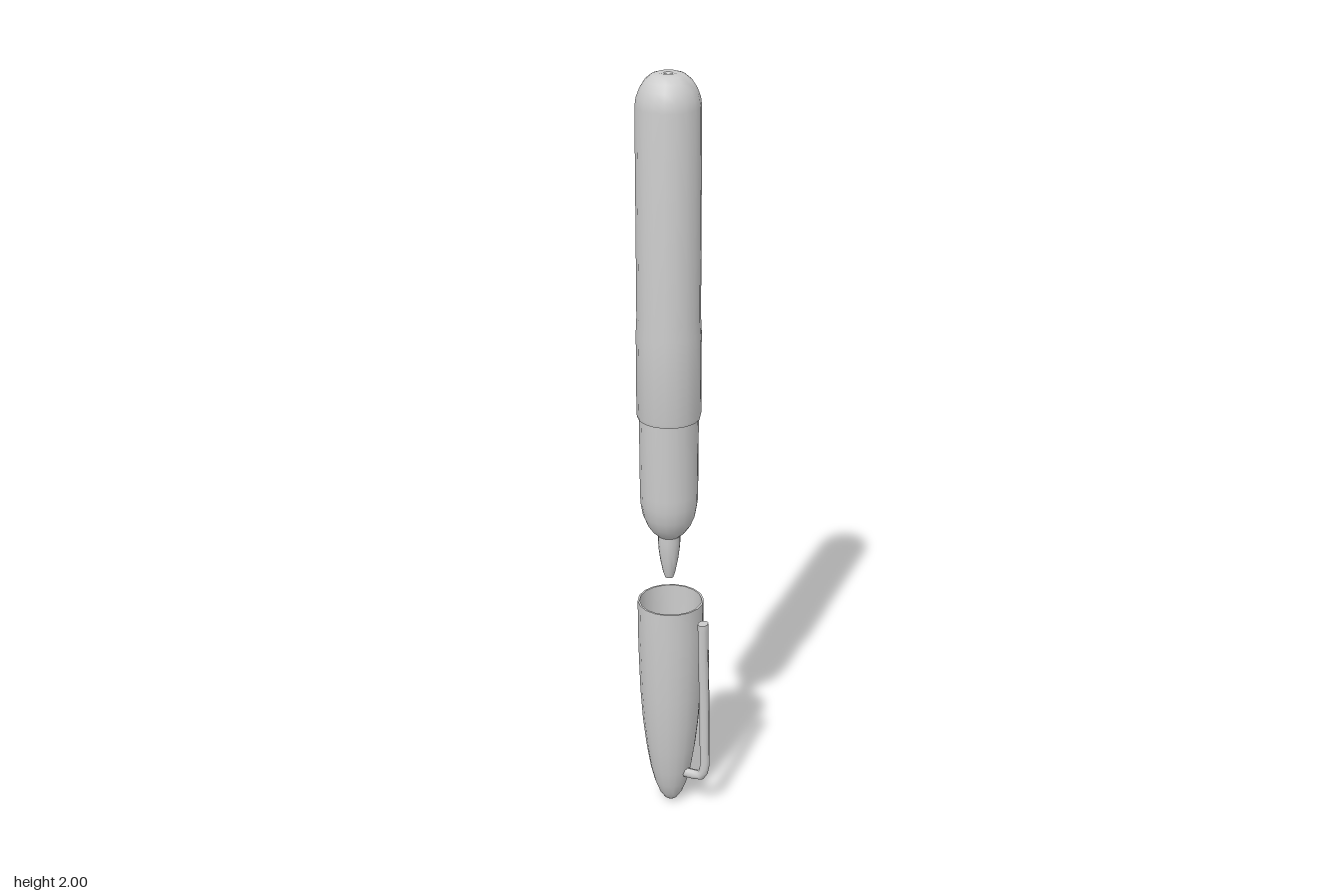
import * as THREE from 'three';
import { toCreasedNormals } from 'three/addons/utils/BufferGeometryUtils.js';

const SIDES = 18;

export function createModel() {
  const group = new THREE.Group();
  group.name = 'markerPen';
  const material = new THREE.MeshStandardMaterial({ color: 0xcccccc });

  const add = (name, geometry, x = 0) => {
    const mesh = new THREE.Mesh(geometry, material);
    mesh.name = name;
    mesh.position.x = x;
    group.add(mesh);
    return mesh;
  };
  // Turned part from [radius, height] pairs, listed bottom to top on the outside
  const turned = (name, profile, x) => add(name, toCreasedNormals(
    new THREE.LatheGeometry(profile.map(([r, y]) => new THREE.Vector2(r, y)), SIDES), 0.65), x);

  const penX = -0.023, capX = -0.019;

  // Writing tip, pointing down
  turned('tip', [
    [0, 0.683], [0.011, 0.685], [0.016, 0.7], [0.023, 0.735],
    [0.027, 0.765], [0.029, 0.79], [0.029, 0.82],
  ], penX);

  // Narrower grip with rounded shoulder
  turned('grip', [
    [0, 0.806], [0.029, 0.806], [0.042, 0.818], [0.056, 0.838], [0.067, 0.865],
    [0.073, 0.9], [0.074, 0.93], [0.075, 1.14],
  ], penX);

  // Barrel with a slightly swollen lower sleeve and a small dimple in the domed end
  turned('barrel', [
    [0.072, 1.136], [0.079, 1.136], [0.081, 1.145], [0.081, 1.36], [0.079, 1.4],
    [0.079, 1.92], [0.076, 1.942], [0.068, 1.963], [0.056, 1.982], [0.04, 1.995],
    [0.024, 2], [0.011, 1.998], [0.007, 1.993], [0, 1.992],
  ], penX);

  // Hollow cap, open at the top
  turned('cap', [
    [0, 0], [0.009, 0.003], [0.018, 0.01], [0.031, 0.03], [0.044, 0.065], [0.055, 0.11],
    [0.066, 0.18], [0.075, 0.26], [0.081, 0.35], [0.084, 0.44], [0.086, 0.53], [0.086, 0.617],
    [0.081, 0.617], [0.08, 0.5], [0.076, 0.35], [0.062, 0.2], [0.04, 0.09], [0, 0.05],
  ], capX);

  // Pocket clip: bent rod rising from the foot of the cap
  const clipZ = 0.018;
  const path = new THREE.CatmullRomCurve3([
    [0.022, 0.104, 0.008], [0.055, 0.107, 0.012], [0.078, 0.112, 0.014], [0.089, 0.136, 0.015],
    [0.09, 0.2, 0.016], [0.089, 0.35, 0.018], [0.087, 0.48, 0.02], [0.086, 0.583, 0.021],
  ].map((p) => new THREE.Vector3(...p)));
  const clip = new THREE.TubeGeometry(path, 28, 0.0135, 8, false);
  // Rod widens sideways towards its free end
  const pos = clip.attributes.position;
  for (let i = 0; i < pos.count; i++) {
    const spread = 0.95 + 0.3 * THREE.MathUtils.smoothstep(pos.getY(i), 0.2, 0.58);
    pos.setZ(i, clipZ + (pos.getZ(i) - clipZ) * spread);
  }
  clip.computeVertexNormals();
  add('clip', clip);

  // Flat end of the clip
  const end = add('clipEnd', new THREE.CircleGeometry(0.0135, 8), 0.086);
  end.position.set(0.086, 0.583, 0.022);
  end.rotation.x = -Math.PI / 2;
  end.scale.y = 1.25;

  return group;
}
